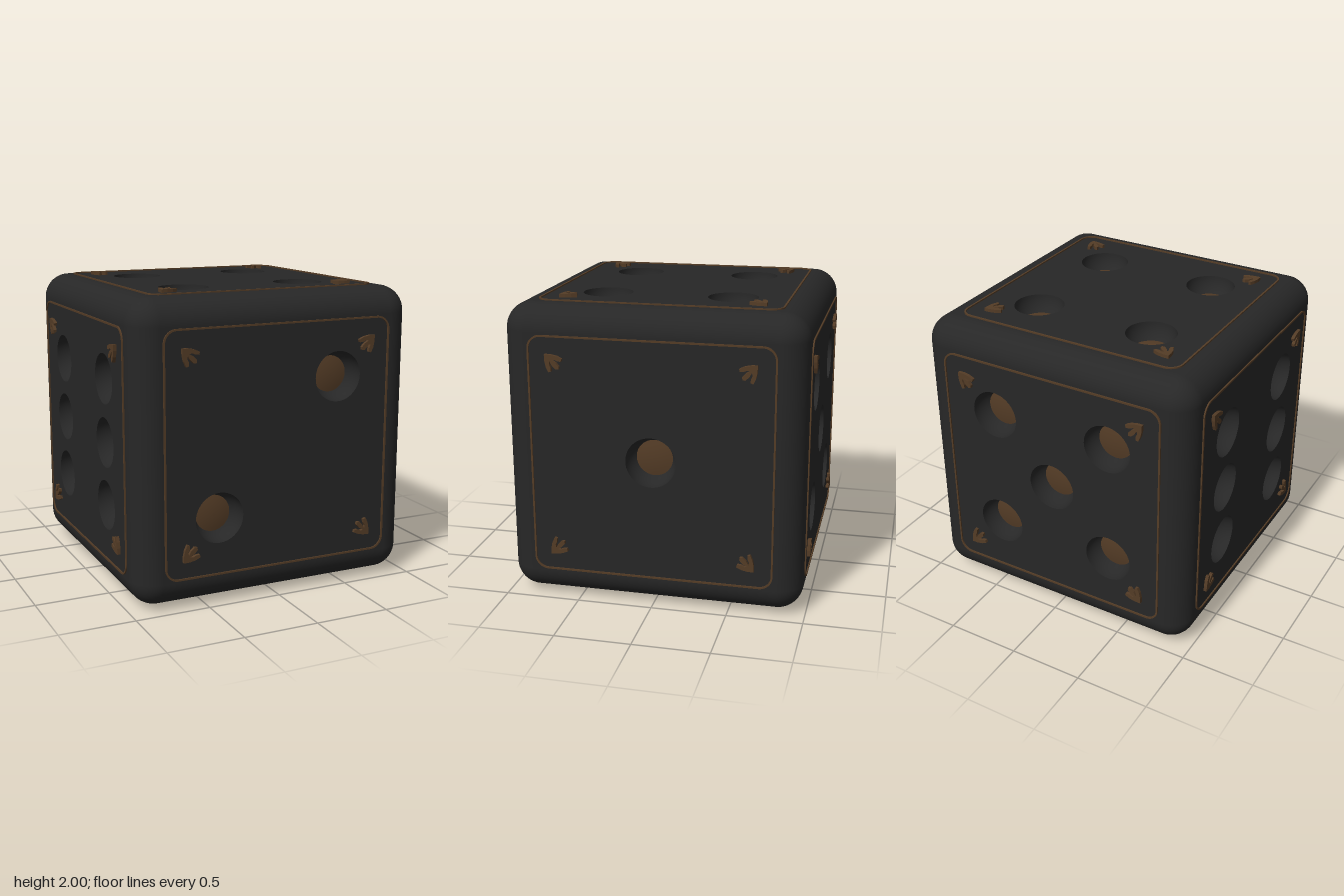
import * as THREE from 'three';
import { mergeGeometries } from 'three/addons/utils/BufferGeometryUtils.js';

const HALF = 0.978;          // centre to flat face
const R = 0.17;              // edge rounding
const FLAT = HALF - R;       // half width of a flat face
const PIP_R = 0.165, INSET_R = 0.12, P = 0.42;
const Q = Math.PI / 2;

const pairs = [[-P, -P], [P, P]];
const four = [...pairs, [-P, P], [P, -P]];
const FACES = [
  { name: 'frontFace', rot: [0, 0, 0], pips: pairs },
  { name: 'rightFace', rot: [0, Q, 0], pips: [[0, 0]] },
  { name: 'backFace', rot: [0, 2 * Q, 0], pips: [...four, [0, 0]] },
  { name: 'leftFace', rot: [0, -Q, 0], pips: [...four, [-P, 0], [P, 0]] },
  { name: 'topFace', rot: [-Q, 0, 0], pips: four },
  { name: 'bottomFace', rot: [Q, 0, 0], pips: [...pairs, [0, 0]] },
];

function roundedSquare(h, r, Type) {
  const s = new Type();
  s.moveTo(h, -h + r);
  [[1, 1, 0], [-1, 1, 1], [-1, -1, 2], [1, -1, 3]].forEach(([x, y, k]) =>
    s.absarc(x * (h - r), y * (h - r), r, k * Q, (k + 1) * Q, false));
  s.closePath();
  return s;
}

// flat square with round openings for the pips
function panelGeometry(pips) {
  const s = new THREE.Shape();
  s.moveTo(-FLAT, -FLAT).lineTo(FLAT, -FLAT).lineTo(FLAT, FLAT).lineTo(-FLAT, FLAT).closePath();
  for (const [x, y] of pips) s.holes.push(new THREE.Path().absarc(x, y, PIP_R, 0, Math.PI * 2, true));
  return new THREE.ShapeGeometry(s, 24);
}

// spherical hollow down to the inset
function bowlGeometry() {
  const end = Math.acos(INSET_R / PIP_R), pts = [];
  for (let i = 0; i <= 8; i++) {
    const a = end * i / 8;
    pts.push(new THREE.Vector2(PIP_R * Math.cos(a), -PIP_R * Math.sin(a)));
  }
  return new THREE.LatheGeometry(pts, 48).rotateX(Q);
}

// slightly domed disc at the bottom of the hollow
function insetGeometry() {
  const floor = -Math.sqrt(PIP_R ** 2 - INSET_R ** 2), pts = [];
  for (let i = 0; i <= 5; i++) {
    const t = 1 - i / 5;
    pts.push(new THREE.Vector2(INSET_R * t, floor + 0.012 * (1 - t * t)));
  }
  return new THREE.LatheGeometry(pts, 48).rotateX(Q);
}

// three-lobed corner ornament, fanning inward from its tip at the outer corner
function ornamentGeometry() {
  const half = [[0.045, 0.006], [0.085, 0.014], [0.12, 0.03], [0.114, 0.048], [0.09, 0.046],
    [0.068, 0.036], [0.05, 0.04], [0.078, 0.056], [0.1, 0.08]];
  const mirror = half.map(([x, y]) => [y, x]).reverse();
  const pts = [[0.005, 0.005], ...half, [0.098, 0.098], ...mirror];
  const s = new THREE.Shape(pts.map(([x, y]) => new THREE.Vector2(x, y)));
  return new THREE.ExtrudeGeometry(s, { depth: 1 - HALF, bevelEnabled: false })
    .translate(-0.682, -0.682, HALF);
}

// quarter-round edges and corner octants
function roundingGeometries() {
  const parts = [];
  for (let k = 0; k < 4; k++) {
    const edge = () => new THREE.CylinderGeometry(R, R, 2 * FLAT, 12, 1, true, 0, Q)
      .translate(FLAT, 0, FLAT).rotateY(k * Q);
    parts.push(edge(), edge().rotateX(Q), edge().rotateZ(Q));
    for (const flip of [0, Math.PI]) {
      parts.push(new THREE.SphereGeometry(R, 12, 12, Q, Q, 0, Q)
        .translate(FLAT, FLAT, FLAT).rotateY(k * Q).rotateX(flip));
    }
  }
  return parts;
}

export function createModel() {
  const black = new THREE.MeshStandardMaterial({ color: 0x272727 });
  black.name = 'charcoal black';
  const bronze = new THREE.MeshStandardMaterial({ color: 0x543c26 });
  bronze.name = 'dark bronze';

  const model = new THREE.Group();
  model.name = 'die';
  const body = new THREE.Group();
  body.name = 'body';
  body.position.y = 1;
  model.add(body);

  const add = (parent, name, geometry, material) => {
    const mesh = new THREE.Mesh(geometry, material);
    mesh.name = name;
    parent.add(mesh);
    return mesh;
  };

  add(body, 'roundedEdges', mergeGeometries(roundingGeometries()), black);

  // thin raised border line
  const outline = roundedSquare(0.796, 0.09, THREE.Shape);
  outline.holes.push(roundedSquare(0.784, 0.078, THREE.Path));
  const border = new THREE.ExtrudeGeometry(outline, { depth: 0.009, bevelEnabled: false, curveSegments: 10 })
    .translate(0, 0, HALF);
  const bowl = bowlGeometry(), inset = insetGeometry(), ornament = ornamentGeometry();

  for (const { name, rot, pips } of FACES) {
    const face = new THREE.Group();
    face.name = name;
    face.rotation.set(...rot);
    body.add(face);

    add(face, 'panel', panelGeometry(pips), black).position.z = HALF;
    add(face, 'borderLine', border, bronze);
    for (const [x, y] of pips) {
      add(face, 'pipHollow', bowl, black).position.set(x, y, HALF);
      add(face, 'pipInset', inset, bronze).position.set(x, y, HALF);
    }
    for (let k = 0; k < 4; k++) add(face, 'cornerOrnament', ornament, bronze).rotation.z = k * Q;
  }
  return model;
}
